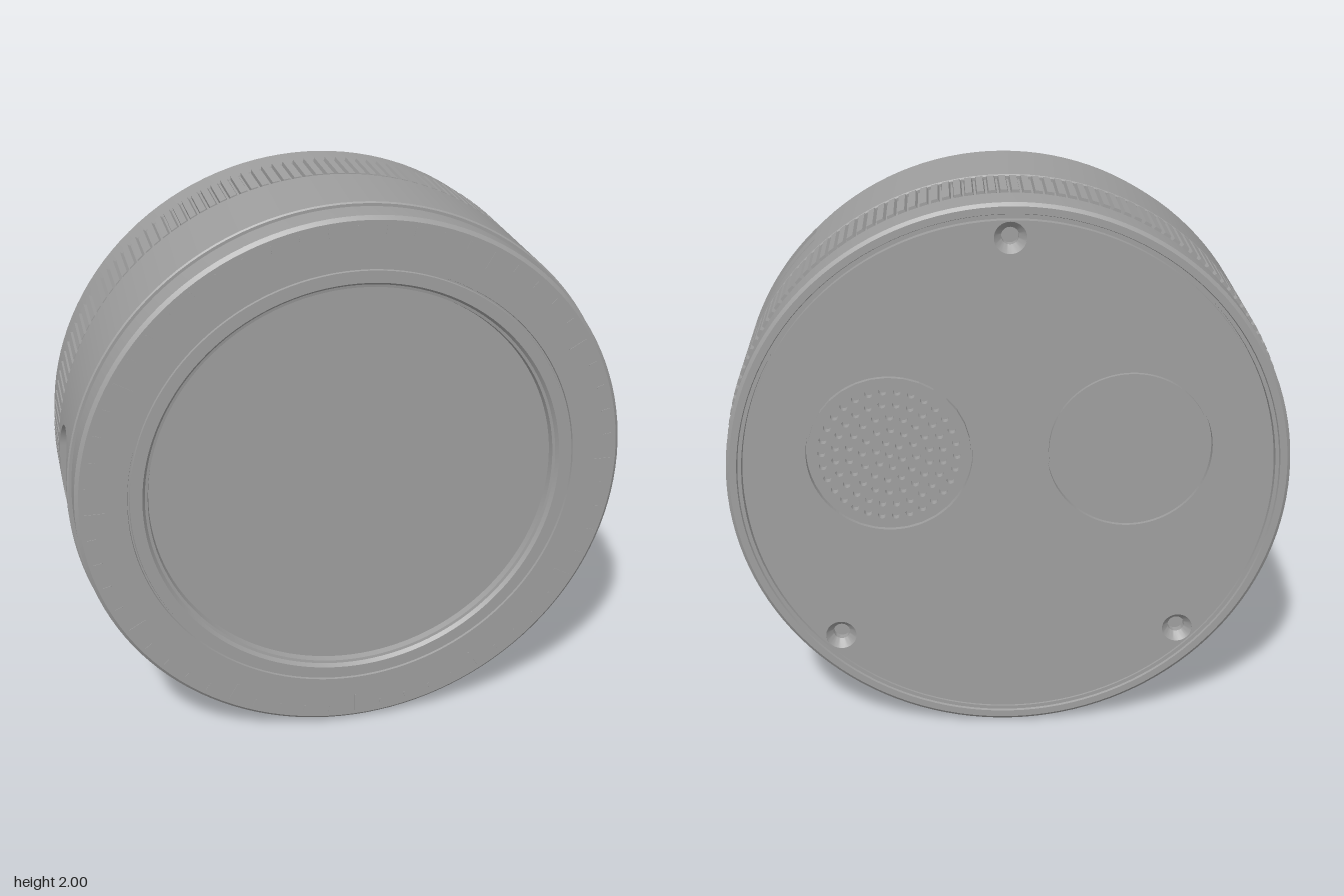
import * as THREE from 'three';
import { toCreasedNormals } from 'three/addons/utils/BufferGeometryUtils.js';

const grey = new THREE.MeshStandardMaterial({ color: 0x9e9e9e });
grey.name = 'grey';

function add(parent, geometry, name, x = 0, y = 0, z = 0) {
  const mesh = new THREE.Mesh(geometry, grey);
  mesh.name = name;
  mesh.position.set(x, y, z);
  parent.add(mesh);
  return mesh;
}

// Turned part about the z axis; the profile [r, z] runs from back to front.
function turned(profile, segments = 128) {
  const points = profile.map(([r, z]) => new THREE.Vector2(r, z));
  return toCreasedNormals(new THREE.LatheGeometry(points, segments).rotateX(Math.PI / 2), 0.4);
}

// Skin over columns of [angle, [[r, z], ...]] placed around the z axis.
function loft(columns) {
  const at = (i, j) => {
    const [a, section] = columns[i], [r, z] = section[j];
    return new THREE.Vector3(r * Math.cos(a), r * Math.sin(a), z);
  };
  const positions = [];
  const face = (a, b, c) => {
    const area = b.clone().sub(a).cross(c.clone().sub(a)).length();
    if (area > 1e-9) for (const p of [a, b, c]) positions.push(p.x, p.y, p.z);
  };
  for (let i = 0; i < columns.length - 1; i++) {
    for (let j = 0; j < columns[0][1].length - 1; j++) {
      const a = at(i, j), b = at(i + 1, j), c = at(i + 1, j + 1), d = at(i, j + 1);
      face(a, b, c);
      face(a, c, d);
    }
  }
  const geometry = new THREE.BufferGeometry();
  geometry.setAttribute('position', new THREE.Float32BufferAttribute(positions, 3));
  return toCreasedNormals(geometry, 0.5);
}

// Curved pad standing on radius r0 and reaching radius r1.
function pad(a0, a1, z0, z1, r0, r1) {
  const flat = [[r0, z0], [r0, z0], [r0, z1], [r0, z1]];
  const full = [[r0, z0], [r1, z0], [r1, z1], [r0, z1]];
  const columns = [[a0, flat]];
  for (let i = 0; i <= 12; i++) columns.push([a0 + (a1 - a0) * i / 12, full]);
  columns.push([a1, flat]);
  return loft(columns);
}

// Wall section with an opening: rim half-width, inner half-width, radii of both steps.
function wallSection(zc, rim, inner, rStep, rFloor) {
  return [[0.95, -0.05], [0.995, -0.05], [1, -0.045],
    [1, zc - rim], [rStep, zc - inner], [rFloor, zc - inner],
    [rFloor, zc + inner], [rStep, zc + inner], [1, zc + rim],
    [1, 0.285], [0.995, 0.29], [0.95, 0.29]];
}

function bodyWall() {
  const button = () => wallSection(0.165, 0.11, 0.11, 1, 0.97);
  const slot = (a) => {
    const s = Math.sqrt(Math.max(0, 1 - (a / 0.085) ** 2));
    const rim = Math.max(0.0475, 0.1 * s);
    return wallSection(0.125, rim, 0.0475, 1 - (rim - 0.0475) * 0.6, 0.92);
  };
  const port = (a) => {
    const over = Math.max(0, Math.abs(a) - 0.085);
    const h = Math.sqrt(Math.max(0, 0.125 ** 2 - over ** 2));
    return wallSection(0.125, h, h, 1, 0.86);
  };
  const openings = [
    [-0.593, 0.225, button], [0, 0.206, slot], [0.593, 0.225, button], [Math.PI, 0.21, port],
  ];
  const plain = wallSection(0.125, 0, 0, 1, 1);
  const columns = [];
  const span = (a0, a1, steps, section) => {
    for (let i = 0; i <= steps; i++) {
      const a = a0 + (a1 - a0) * i / steps;
      columns.push([a, section(a)]);
    }
  };
  let angle = -Math.PI / 2;
  for (const [mid, half, section] of openings) {
    span(angle, mid - half, Math.ceil((mid - half - angle) / 0.05), () => plain);
    span(mid - half, mid + half, 40, (a) => section(a - mid));
    angle = mid + half;
  }
  span(angle, Math.PI * 1.5, 28, () => plain);
  return loft(columns);
}

function circle(r, Type = THREE.Shape, x = 0, y = 0) {
  const path = new Type();
  path.absarc(x, y, r, 0, Math.PI * 2, false);
  return path;
}

function plate(shape, depth, curveSegments) {
  return new THREE.ExtrudeGeometry(shape, { depth, bevelEnabled: false, curveSegments });
}

export function createModel() {
  const model = new THREE.Group();
  model.name = 'roundDevice';
  const body = new THREE.Group();
  body.name = 'body';
  body.position.y = 1;
  model.add(body);

  add(body, bodyWall(), 'mainRing');

  // Two split buttons on the left side
  for (const mid of [-0.593, 0.593]) {
    add(body, pad(mid - 0.215, mid + 0.215, 0.063, 0.158, 0.965, 0.992), 'buttonBackHalf');
    add(body, pad(mid - 0.215, mid + 0.215, 0.17, 0.268, 0.965, 0.992), 'buttonFrontHalf');
  }

  // Front bezel with a fine groove and the recessed screen
  add(body, turned([[0.95, 0.285], [0.985, 0.285], [0.985, 0.388], [0.972, 0.4], [0.807, 0.4],
    [0.805, 0.392], [0.8, 0.392], [0.798, 0.4], [0.755, 0.4], [0.745, 0.386], [0.735, 0.384],
    [0.73, 0.36]]), 'frontBezel');
  add(body, new THREE.CircleGeometry(0.735, 128), 'screen', 0, 0, 0.361);

  // Dial marks on the bezel
  for (let i = 0; i < 60; i++) {
    const length = i % 5 ? 0.03 : 0.07;
    const a = i / 60 * Math.PI * 2, r = 0.955 - length / 2;
    const tick = add(body, new THREE.BoxGeometry(length, 0.006, 0.004), 'dialMark',
      r * Math.cos(a), r * Math.sin(a), 0.4);
    tick.rotation.z = a;
  }

  // Knurled ring
  const teeth = 160, outline = [];
  for (let i = 0; i < teeth; i++) {
    for (const [t, r] of [[0, 0.986], [0.2, 0.986], [0.3, 1], [0.9, 1]]) {
      const a = (i + t) / teeth * Math.PI * 2;
      outline.push(new THREE.Vector2(r * Math.cos(a), r * Math.sin(a)));
    }
  }
  add(body, plate(new THREE.Shape(outline), 0.208, 1), 'knurledRing', 0, 0, -0.265);

  // Back cap with rim, and the core closing the gap by the knurling
  add(body, turned([[0.93, -0.37], [0.935, -0.37], [0.937, -0.392], [0.95, -0.392], [0.953, -0.4],
    [0.978, -0.4], [0.99, -0.39], [0.99, -0.265], [0.975, -0.262], [0.975, -0.045]]), 'backCap');

  // Back plate with openings for the screws, speaker and round cover
  const back = circle(0.93);
  const screws = [90, 225, 315].map((d) => {
    const a = THREE.MathUtils.degToRad(d);
    return [0.87 * Math.cos(a), 0.87 * Math.sin(a)];
  });
  for (const [x, y] of screws) back.holes.push(circle(0.055, THREE.Path, x, y));
  for (const x of [0.42, -0.42]) back.holes.push(circle(0.29, THREE.Path, x, 0.1));
  add(body, plate(back, 0.03, 64), 'backPlate', 0, 0, -0.395);

  // Countersunk screw holes
  const sink = turned([[0, -0.34], [0.03, -0.34], [0.03, -0.365], [0.056, -0.395]], 32);
  for (const [x, y] of screws) add(body, sink, 'screwHole', x, y);

  // Speaker grille: rings of small holes over a backing disc
  const grille = circle(0.284);
  for (let ring = 0; ring <= 5; ring++) {
    const count = ring ? ring * 6 : 1;
    for (let i = 0; i < count; i++) {
      const a = i / count * Math.PI * 2 + ring * 0.3;
      grille.holes.push(circle(0.014, THREE.Path, ring * 0.047 * Math.cos(a), ring * 0.047 * Math.sin(a)));
    }
  }
  add(body, plate(grille, 0.03, 16), 'speakerGrille', 0.42, 0.1, -0.393);
  add(body, plate(circle(0.284), 0.02, 48), 'roundCover', -0.42, 0.1, -0.393);
  for (const x of [0.42, -0.42]) {
    add(body, new THREE.CircleGeometry(0.3, 48).rotateY(Math.PI), 'backingDisc', x, 0.1, -0.367);
  }
  return model;
}
